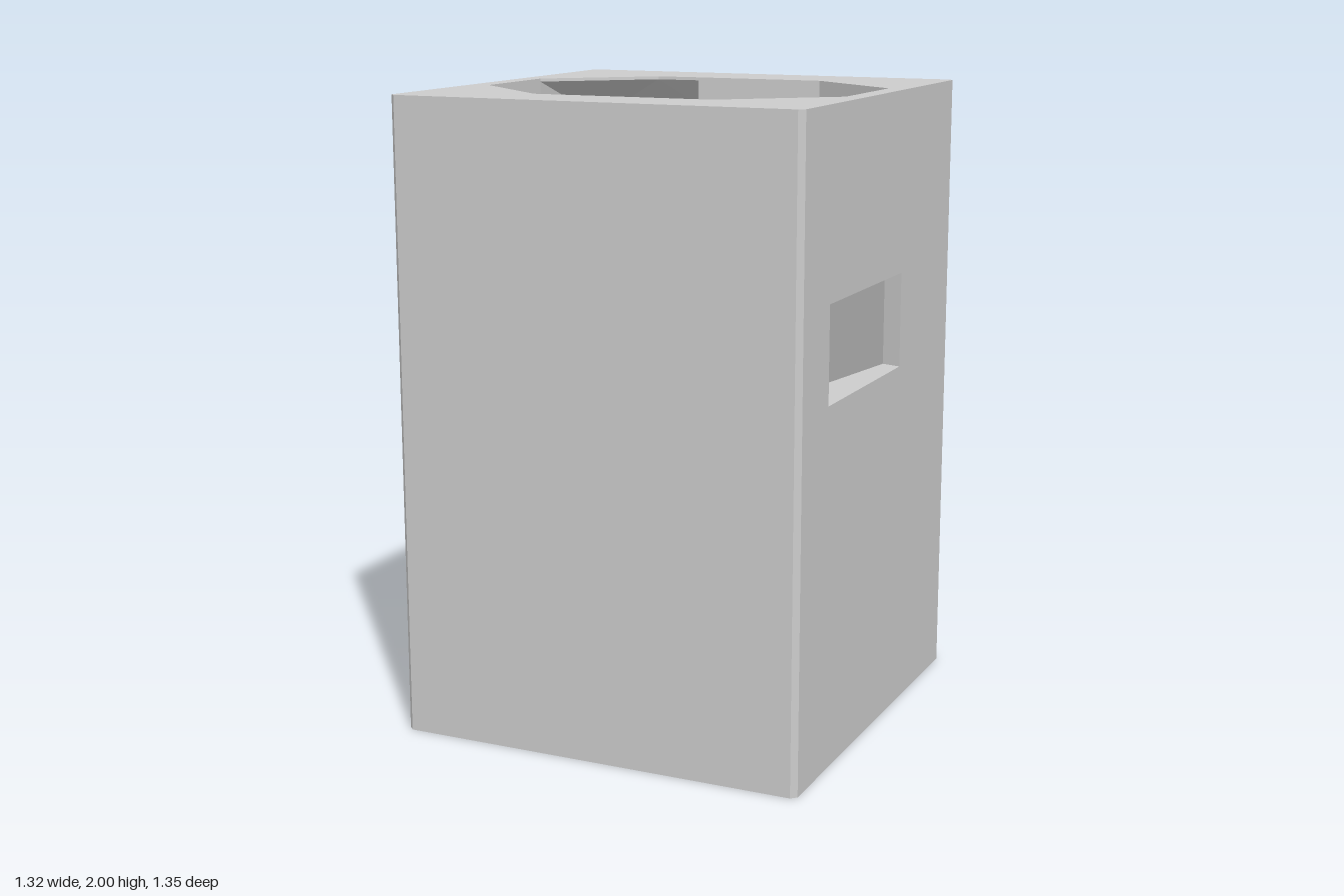
import * as THREE from 'three';

const HEIGHT = 2;

// Plan outlines as [x, z]; the outer loop and the bore run in opposite directions.
const outer = [
  [-0.645, 0.673], [0.645, 0.673], [0.662, 0.656], [0.662, 0.45], [0.662, -0.18],
  [0.662, -0.656], [0.645, -0.673], [-0.15, -0.673], [-0.645, -0.673],
  [-0.662, -0.656], [-0.662, 0.656],
];
const bore = [
  [-0.295, -0.422], [-0.15, -0.43], [0.28, -0.437], [0.6, -0.2], [0.6, 0.18],
  [0.29, 0.452], [-0.29, 0.457], [-0.6, 0.187], [-0.6, -0.153],
];
// One bore corner is pinched inwards at the side window.
const pinched = [0.537, 0.19];

// Each window runs from one outer edge to three bore corners.
const windows = [
  { name: 'sideWindow', edge: 3, inner: [5, 4, 3], sill: 1.13, outTop: 1.43, inTop: 1.42 },
  { name: 'backWindow', edge: 7, inner: [1, 0, 8], sill: 1.45, outTop: 1.83, inTop: 1.99 },
];

const at = ([x, z], y) => [x, y, z];
const quad = (a, b, c, d) => [a, b, c, a, c, d];

function mesh(name, geometry) {
  const material = new THREE.MeshStandardMaterial({ color: 0xcccccc, flatShading: true });
  const m = new THREE.Mesh(geometry, material);
  m.name = name;
  return m;
}

function fromTriangles(name, points) {
  const g = new THREE.BufferGeometry();
  g.setAttribute('position', new THREE.Float32BufferAttribute(points.flat(), 3));
  g.computeVertexNormals();
  return mesh(name, g);
}

// Upright wall along a loop, leaving out the window openings.
function wall(name, loop, openingOf, middle = (p) => p) {
  const tris = [];
  loop.forEach((a, i) => {
    const j = (i + 1) % loop.length, b = loop[j];
    const o = openingOf(i, j);
    if (!o) {
      tris.push(...quad(at(a, 0), at(b, 0), at(b, HEIGHT), at(a, HEIGHT)));
      return;
    }
    const [low, high] = o, ma = middle(a), mb = middle(b);
    tris.push(...quad(at(a, 0), at(b, 0), at(mb, low), at(ma, low)));
    tris.push(...quad(at(ma, high), at(mb, high), at(b, HEIGHT), at(a, HEIGHT)));
  });
  return fromTriangles(name, tris);
}

// Flat end plate with the bore cut out.
function cap(name, y, up) {
  const s = up ? -1 : 1;
  const to2 = (loop) => loop.map(([x, z]) => new THREE.Vector2(x, s * z));
  const shape = new THREE.Shape(to2(outer));
  shape.holes.push(new THREE.Path(to2(bore)));
  const g = new THREE.ShapeGeometry(shape);
  g.rotateX(s * Math.PI / 2).translate(0, y, 0);
  return mesh(name, g);
}

const pinch = (p) => (p === bore[4] ? pinched : p);

// Sill, ceiling and two jambs between the outer opening and the bore.
function windowLining({ name, edge, inner, sill, outTop, inTop }) {
  const A = outer[edge], B = outer[edge + 1];
  const [a, m, b] = inner.map((i) => pinch(bore[i]));
  const tris = [];
  for (const [p, q] of [[A, B], [B, b], [a, A]]) {
    const top = (v) => at(v, v === A || v === B ? outTop : inTop);
    tris.push(at(p, sill), at(q, sill), at(m, sill));
    tris.push(top(q), top(p), top(m));
  }
  tris.push(...quad(at(A, sill), at(a, sill), at(a, inTop), at(A, outTop)));
  tris.push(...quad(at(b, sill), at(B, sill), at(B, outTop), at(b, inTop)));
  return fromTriangles(name, tris);
}

export function createModel() {
  const group = new THREE.Group();
  group.name = 'hollowBlock';

  group.add(wall('outerWall', outer, (i) => {
    const w = windows.find((v) => v.edge === i);
    return w && [w.sill, w.outTop];
  }));
  group.add(wall('boreWall', bore, (i, j) => {
    const w = windows.find((v) => v.inner.includes(i) && v.inner.includes(j));
    return w && [w.sill, w.inTop];
  }, pinch));
  group.add(cap('topFace', HEIGHT, true), cap('bottomFace', 0, false));
  windows.forEach((w) => group.add(windowLining(w)));
  return group;
}
